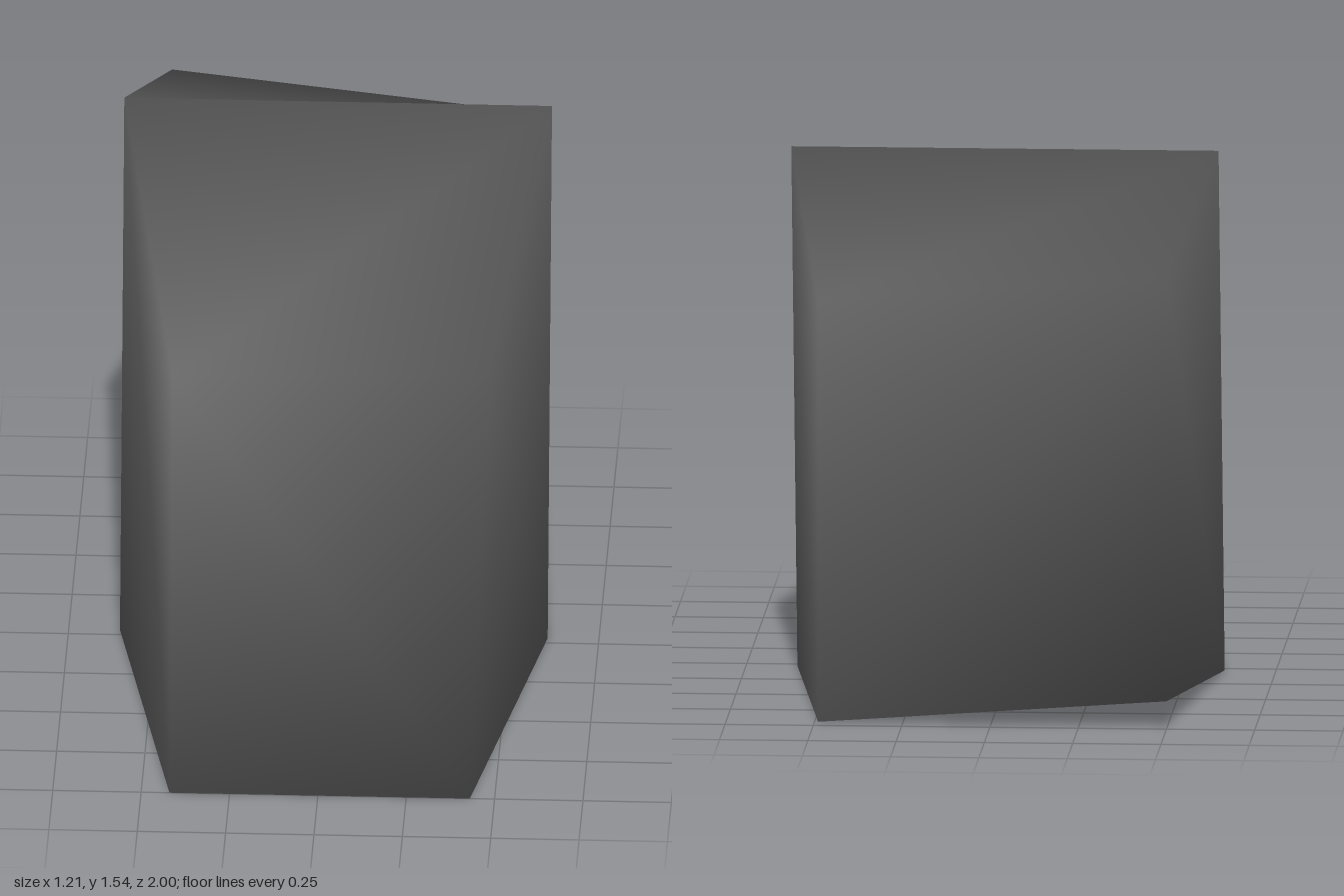
import * as THREE from 'three';

export function createModel() {
  const stone = new THREE.MeshStandardMaterial({ color: 0x5c5c5c });
  stone.name = 'darkStone';

  // Cross-sections front to back; corners: bottom right, bottom left, top left, top right
  const sections = [
    [[-0.42, 0, 1], [0.43, 0, 1], [0.475, 1.21, 0.74], [-0.42, 1.21, 0.79]],
    [[-0.605, 0, -0.03], [0.605, 0, -0.03], [0.605, 1.54, -0.31], [-0.605, 1.54, -0.31]],
    [[-0.5, 0.08, -1], [0.49, 0, -0.94], [0.49, 1.21, -0.94], [-0.5, 1.29, -1]],
  ];

  // Front cap, skin between sections, back cap
  const index = [0, 1, 3, 1, 2, 3];
  for (let i = 0; i < sections.length - 1; i++) {
    for (let j = 0; j < 4; j++) {
      const a = i * 4 + j;
      const b = i * 4 + ((j + 1) % 4);
      index.push(a, a + 4, b, b, a + 4, b + 4);
    }
  }
  index.push(8, 11, 9, 9, 11, 10);

  // Shared corners give the soft shading over the coarse facets
  const geometry = new THREE.BufferGeometry();
  geometry.setAttribute('position', new THREE.Float32BufferAttribute(sections.flat(2), 3));
  geometry.setIndex(index);
  geometry.computeVertexNormals();

  const boulder = new THREE.Mesh(geometry, stone);
  boulder.name = 'boulder';

  const group = new THREE.Group();
  group.name = 'rock';
  group.add(boulder);
  return group;
}
